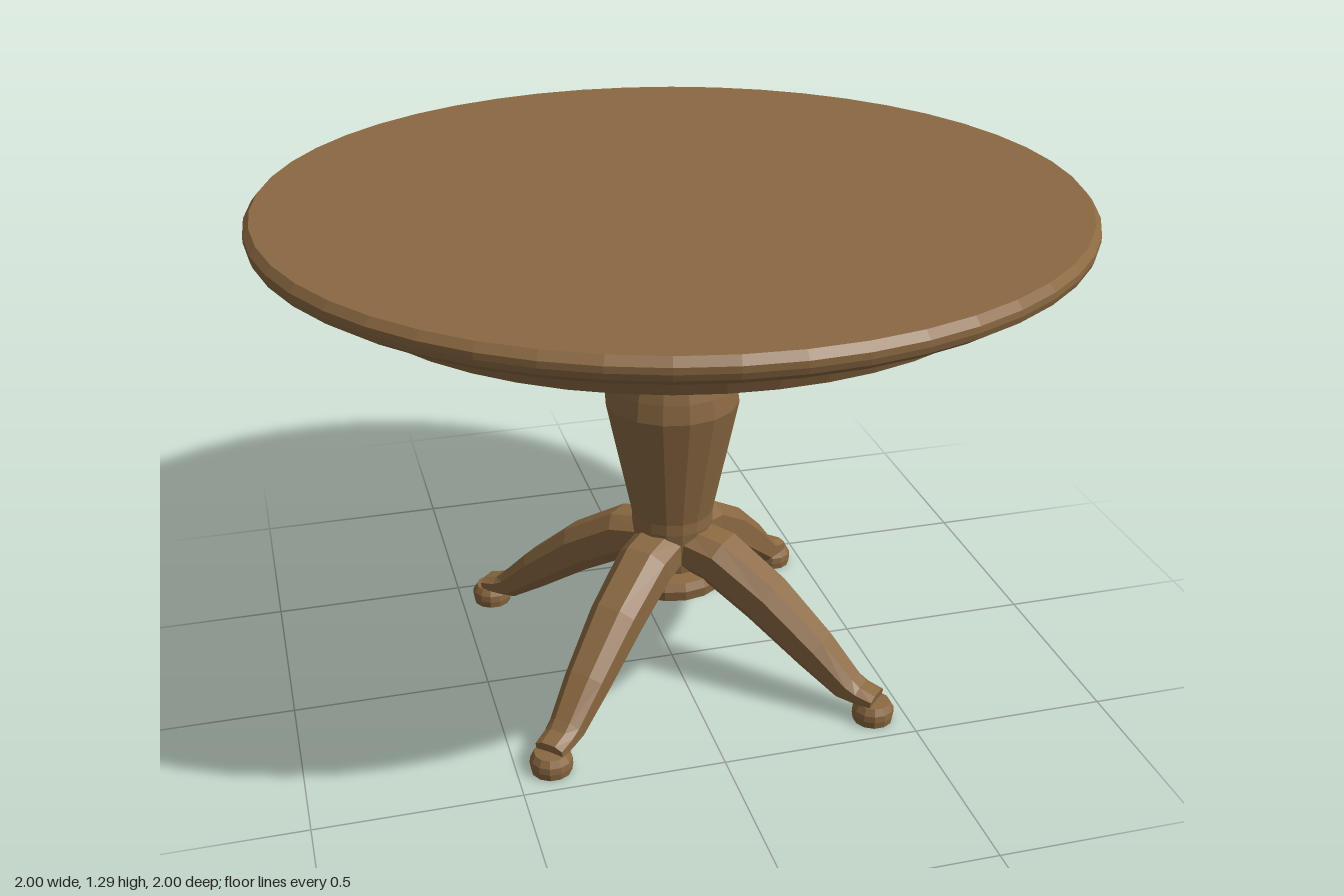
import * as THREE from 'three';

const wood = new THREE.MeshStandardMaterial({ color: 0x8b6942, flatShading: true });
wood.name = 'brown wood';

// Turned part from [radius, height] pairs, listed bottom to top
function turned(name, profile, sides) {
  const points = profile.map(([r, y]) => new THREE.Vector2(r, y));
  const geometry = new THREE.LatheGeometry(points, sides).toNonIndexed();
  geometry.computeVertexNormals();
  const mesh = new THREE.Mesh(geometry, wood);
  mesh.name = name;
  return mesh;
}

// Chamfered bar swept through stations [r, y, halfWidth, halfThickness]
function legGeometry(stations) {
  const section = [[1, 0.5], [0.5, 1], [-0.5, 1], [-1, 0.6], [-1, -0.6], [-0.5, -1], [0.5, -1], [1, -0.5]];
  const n = section.length, last = stations.length - 1;
  const positions = [], index = [];
  stations.forEach(([r, y, w, t], i) => {
    const a = stations[Math.max(i - 1, 0)], b = stations[Math.min(i + 1, last)];
    const along = new THREE.Vector2(b[0] - a[0], b[1] - a[1]).normalize();
    for (const [u, v] of section) {
      positions.push(r - along.y * t * u, y + along.x * t * u, w * v);
    }
  });
  for (let i = 0; i < last; i++) {
    for (let j = 0; j < n; j++) {
      const k = (j + 1) % n, p = i * n, q = p + n;
      index.push(p + j, p + k, q + k, p + j, q + k, q + j);
    }
  }
  for (let j = 1; j < n - 1; j++) {
    index.push(0, j + 1, j, last * n, last * n + j, last * n + j + 1);
  }
  const indexed = new THREE.BufferGeometry();
  indexed.setAttribute('position', new THREE.Float32BufferAttribute(positions, 3));
  indexed.setIndex(index);
  const geometry = indexed.toNonIndexed();
  geometry.computeVertexNormals();
  return geometry;
}

export function createModel() {
  const table = new THREE.Group();
  table.name = 'pedestalTable';

  // Round top with a bevelled rim, and the apron below it
  table.add(turned('tableTop', [
    [0, 1.225], [0.965, 1.225], [0.995, 1.245], [1, 1.26], [1, 1.275], [0.985, 1.293], [0, 1.293],
  ], 48));
  table.add(turned('apron', [[0, 1.14], [0.825, 1.14], [0.845, 1.19], [0.86, 1.226], [0, 1.226]], 48));

  // Turned column
  table.add(turned('column', [
    [0, 0.28], [0.085, 0.28], [0.105, 0.42], [0.105, 0.45], [0.17, 0.76], [0.163, 0.81],
    [0.148, 0.87], [0.12, 0.92], [0.098, 0.97], [0.095, 1.01], [0, 1.01],
  ], 16));
  table.add(turned('collar', [
    [0, 1.005], [0.132, 1.005], [0.142, 1.02], [0.142, 1.045], [0.135, 1.066], [0, 1.066],
  ], 16));
  table.add(turned('columnHead', [[0, 1.06], [0.115, 1.06], [0.12, 1.1], [0.128, 1.141], [0, 1.141]], 16));
  table.add(turned('columnBase', [[0, 0.248], [0.135, 0.248], [0.14, 0.275], [0.13, 0.295], [0, 0.31]], 16));

  // Four curved legs on the diagonals, each on a small round foot
  const legShape = legGeometry([
    [0.05, 0.365, 0.068, 0.055], [0.14, 0.345, 0.067, 0.062], [0.28, 0.262, 0.062, 0.06],
    [0.42, 0.155, 0.052, 0.05], [0.515, 0.078, 0.042, 0.036], [0.55, 0.066, 0.04, 0.025],
    [0.595, 0.058, 0.038, 0.02],
  ]);
  for (let i = 0; i < 4; i++) {
    const leg = new THREE.Group();
    leg.name = 'leg' + (i + 1);
    const bar = new THREE.Mesh(legShape, wood);
    bar.name = 'curvedLeg';
    const foot = turned('foot', [
      [0, 0], [0.05, 0], [0.053, 0.018], [0.052, 0.035], [0.042, 0.052], [0, 0.055],
    ], 12);
    foot.position.x = 0.587;
    leg.add(bar, foot);
    leg.rotation.y = Math.PI / 4 + i * Math.PI / 2;
    table.add(leg);
  }
  return table;
}
